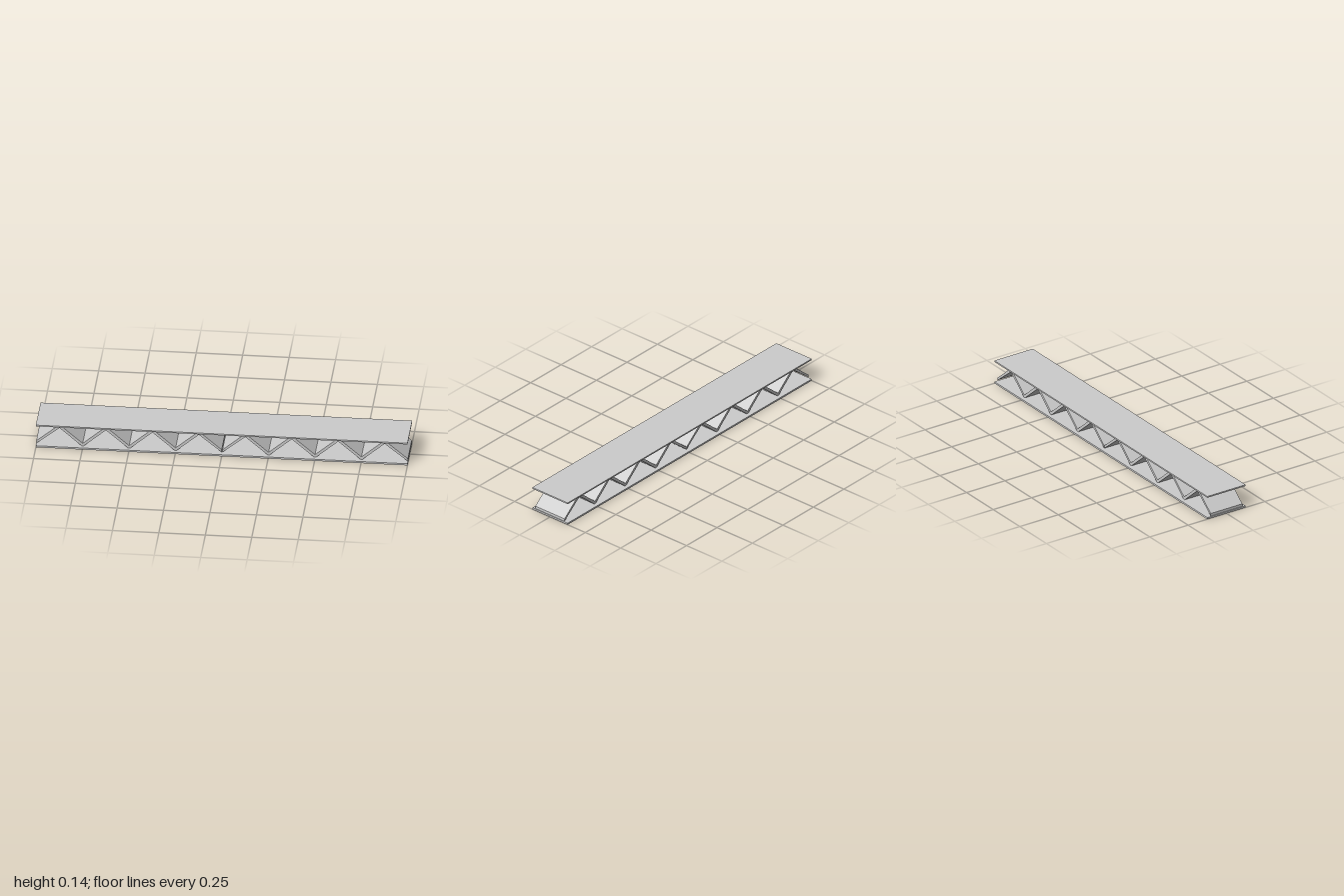
import * as THREE from 'three';

const material = new THREE.MeshStandardMaterial({ color: 0xcccccc, flatShading: true });

const PITCH = 0.25; // length of one tooth of the web
const LOW = 0.011, HIGH = 0.128; // lowest and highest points of the web
const THICK = 0.015; // thickness of the web measured upright
const FLAT = 0.006; // half width of the flat at each fold
const GAP = 0.002; // half of the joint between the two web sections

function plate(name, bottom, top) {
  const mesh = new THREE.Mesh(new THREE.BoxGeometry(2, top - bottom, 0.25), material);
  mesh.position.y = (bottom + top) / 2;
  mesh.name = name;
  return mesh;
}

// Folded sheet with four teeth, starting at x = 0
function foldedWeb(name) {
  const lower = [], upper = [];
  const teeth = 4, end = teeth * PITCH;
  lower.push([0, LOW + 0.002]);
  upper.push([0, LOW + THICK + 0.002]);
  for (let i = 1; i < teeth * 2; i++) {
    const x = i * PITCH / 2;
    if (i % 2) {
      // peak: flat outside, sharp inside
      lower.push([x, HIGH - THICK]);
      upper.push([x - FLAT, HIGH], [x + FLAT, HIGH]);
    } else {
      // valley: flat outside, sharp inside
      lower.push([x - FLAT, LOW], [x + FLAT, LOW]);
      upper.push([x, LOW + THICK]);
    }
  }
  lower.push([end - GAP, LOW + 0.002]);
  upper.push([end - GAP, LOW + THICK + 0.002]);

  const outline = [...lower, ...upper.reverse()].map(([x, y]) => new THREE.Vector2(x, y));
  const geometry = new THREE.ExtrudeGeometry(new THREE.Shape(outline), {
    depth: 0.206, bevelEnabled: false,
  });
  geometry.translate(0, 0, -0.103);
  const mesh = new THREE.Mesh(geometry, material);
  mesh.name = name;
  return mesh;
}

export function createModel() {
  const group = new THREE.Group();
  group.name = 'trussBeam';

  // Top and bottom chords
  group.add(plate('bottomPlate', 0, 0.01), plate('topPlate', 0.128, 0.136));

  // Two zigzag webs meeting at the middle
  const rightWeb = foldedWeb('rightWeb');
  rightWeb.position.x = -1;
  const leftWeb = foldedWeb('leftWeb');
  leftWeb.rotation.y = Math.PI;
  leftWeb.position.x = 1;
  group.add(rightWeb, leftWeb);

  return group;
}
